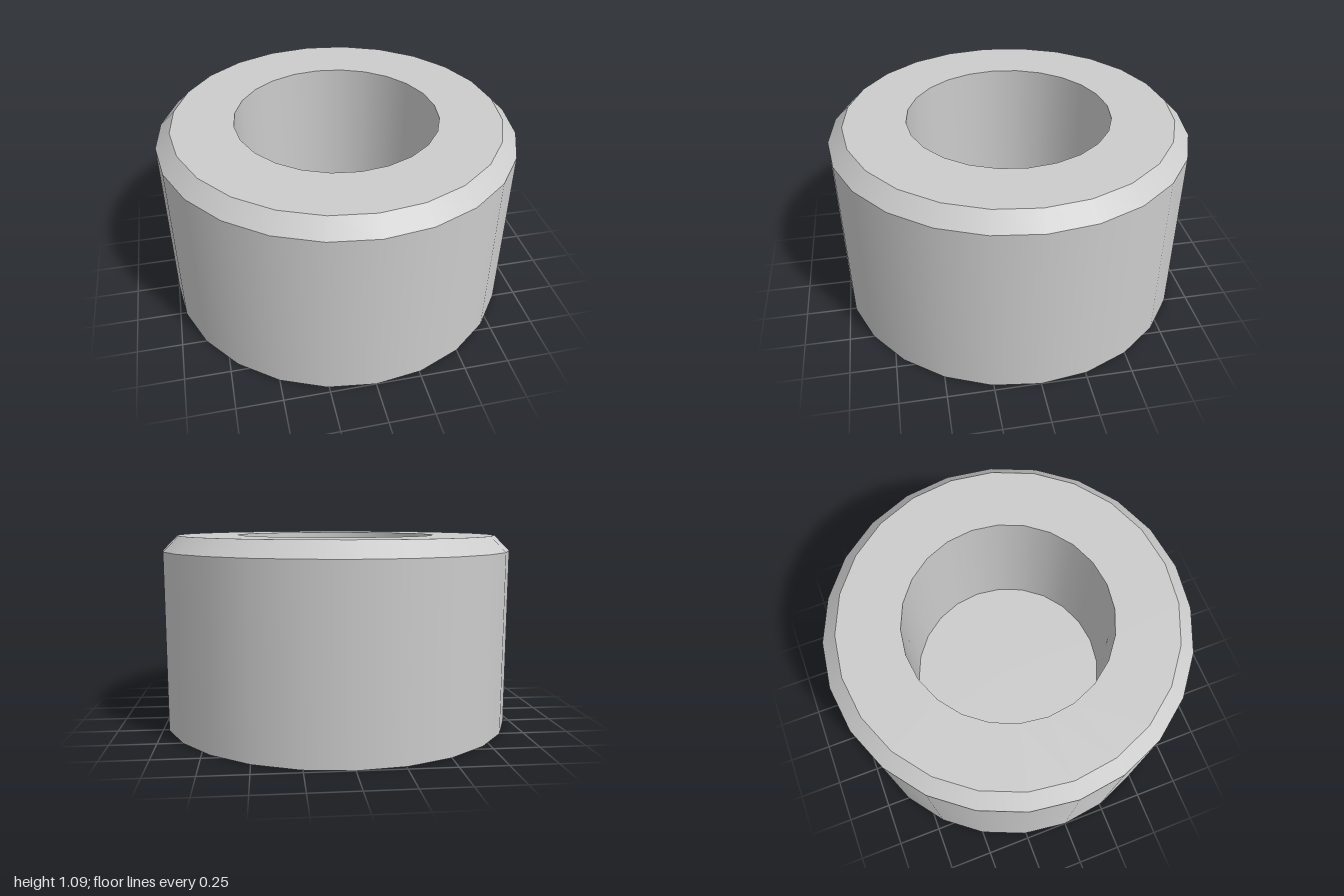
import * as THREE from 'three';

const SIDES = 24;

export function createModel() {
  const group = new THREE.Group();
  group.name = 'socketedCylinder';
  const material = new THREE.MeshStandardMaterial({ color: 0xcccccc });

  // Each band is lathed on its own: smooth around, sharp between bands
  const band = (name, r0, y0, r1, y1) => {
    const profile = [new THREE.Vector2(r0, y0), new THREE.Vector2(r1, y1)];
    const mesh = new THREE.Mesh(new THREE.LatheGeometry(profile, SIDES), material);
    mesh.name = name;
    group.add(mesh);
  };

  const outer = 1, shoulder = 1, rim = 0.915, top = 1.085;
  const bore = 0.57, floor = 0.25;

  // Outer body, from the underside up to the rim
  band('base', 0, 0, outer, 0);
  band('outerWall', outer, 0, outer, shoulder);
  band('chamfer', outer, shoulder, rim, top);
  band('topRing', rim, top, bore, top);

  // Blind round socket
  band('socketWall', bore, top, bore, floor);
  band('socketFloor', bore, floor, 0, floor);

  return group;
}
